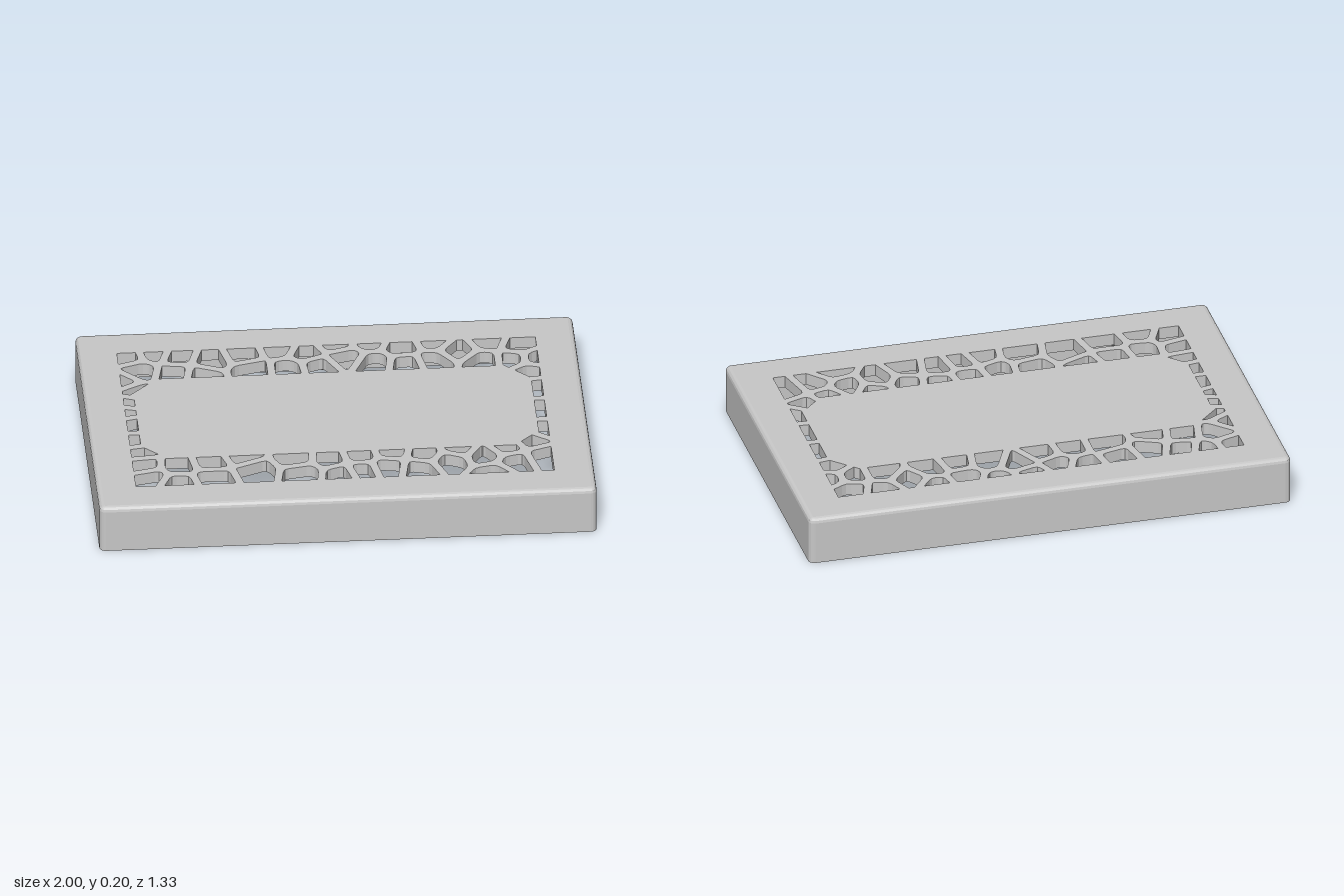
import * as THREE from 'three';
import { toCreasedNormals } from 'three/addons/utils/BufferGeometryUtils.js';

const HX = 1, HZ = 0.667, WALL = 0.02, TOP = 0.2, UNDER = 0.15, SKIN = 0.185;

// Seeds (x, z) of the irregular cells, one list for each side of the window
const backSeeds = [
  -0.81, -0.49, -0.69, -0.51, -0.77, -0.37, -0.6, -0.48, -0.62, -0.34, -0.47, -0.44, -0.52, -0.32,
  -0.34, -0.47, -0.31, -0.35, -0.19, -0.5, -0.16, -0.35, -0.09, -0.46, -0.05, -0.36, 0.04, -0.52,
  0.07, -0.42, 0.18, -0.37, 0.17, -0.53, 0.3, -0.48, 0.31, -0.35, 0.43, -0.51, 0.42, -0.37,
  0.52, -0.44, 0.62, -0.35, 0.65, -0.5, 0.77, -0.46, 0.74, -0.35, 0.83, -0.35,
];
const frontSeeds = [
  -0.8, 0.35, -0.78, 0.44, -0.66, 0.36, -0.67, 0.49, -0.53, 0.34, -0.53, 0.46, -0.4, 0.3,
  -0.35, 0.42, -0.19, 0.34, -0.17, 0.45, -0.05, 0.35, -0.01, 0.47, 0.07, 0.33, 0.07, 0.45,
  0.18, 0.43, 0.2, 0.31, 0.3, 0.45, 0.33, 0.34, 0.43, 0.4, 0.47, 0.31, 0.57, 0.37,
  0.6, 0.51, 0.69, 0.43, 0.66, 0.31, 0.76, 0.26, 0.81, 0.4,
];
const sideSeeds = [
  -0.84, -0.3, -0.79, -0.21, -0.82, -0.13, -0.84, -0.06, -0.82, 0.03, -0.82, 0.17, -0.81, 0.24,
  0.8, -0.26, 0.82, -0.13, 0.82, 0.04, 0.81, 0.19,
];

// Edges of the solid centre panel as [nx, nz, distance]
const panel = [
  [1, 0, 0.8], [-1, 0, 0.8], [0, 1, 0.305], [0, -1, 0.305],
  ...[[1, 1], [1, -1], [-1, 1], [-1, -1]].map(([a, b]) => [a * Math.SQRT1_2, b * Math.SQRT1_2, 0.71]),
];
const windowEdges = [[1, 0, 0.84], [-1, 0, 0.843], [0, 1, 0.51], [0, -1, 0.512]];

// Keep the part of a convex polygon where n.p <= d
function clip(poly, [nx, nz, d]) {
  const out = [];
  poly.forEach((p, i) => {
    const q = poly[(i + 1) % poly.length];
    const a = p[0] * nx + p[1] * nz - d, b = q[0] * nx + q[1] * nz - d;
    if (a <= 0) out.push(p);
    if ((a < 0 && b > 0) || (a > 0 && b < 0)) {
      const t = a / (a - b);
      out.push([p[0] + (q[0] - p[0]) * t, p[1] + (q[1] - p[1]) * t]);
    }
  });
  return out;
}

function area(poly) {
  return Math.abs(poly.reduce((s, p, i) => {
    const q = poly[(i + 1) % poly.length];
    return s + p[0] * q[1] - q[0] * p[1];
  }, 0)) / 2;
}

// Replace each corner by a short curve
function roundCorners(poly, r) {
  const out = [];
  poly.forEach((p, i) => {
    const ends = [poly[(i + poly.length - 1) % poly.length], poly[(i + 1) % poly.length]].map((q) => {
      const t = Math.min(0.4, r / Math.max(1e-6, Math.hypot(q[0] - p[0], q[1] - p[1])));
      return [p[0] + (q[0] - p[0]) * t, p[1] + (q[1] - p[1]) * t];
    });
    const [a, b] = ends;
    out.push(a, [0, 1].map((k) => a[k] / 4 + p[k] / 2 + b[k] / 4), b);
  });
  return out;
}

// Irregular openings between the window edge and the centre panel
function cellHoles() {
  const flat = [...backSeeds, ...frontSeeds, ...sideSeeds];
  const seeds = [];
  for (let i = 0; i < flat.length; i += 2) seeds.push([flat[i], flat[i + 1]]);
  return seeds.map((s) => {
    let poly = [[-1.2, -1], [1.2, -1], [1.2, 1], [-1.2, 1]];
    for (const o of seeds) {
      if (o === s) continue;
      const dx = o[0] - s[0], dz = o[1] - s[1], len = Math.hypot(dx, dz);
      const nx = dx / len, nz = dz / len;
      poly = clip(poly, [nx, nz, nx * (s[0] + o[0]) / 2 + nz * (s[1] + o[1]) / 2 - 0.016]);
    }
    poly = roundCorners(poly, 0.02);
    for (const e of windowEdges) poly = clip(poly, e);
    const dist = (e) => s[0] * e[0] + s[1] * e[1] - e[2];
    const near = panel.reduce((a, b) => (dist(b) > dist(a) ? b : a));
    return clip(poly, near.map((v) => -v));
  }).filter((p) => p.length > 2 && area(p) > 0.0003);
}

// Honeycomb pockets under the centre panel
function hexHoles() {
  const holes = [], pitch = 0.14, r = 0.06;
  for (let row = 0; row < 5; row++) {
    for (let col = -6; col <= 6; col++) {
      const cx = (col + (row % 2) / 2) * pitch, cz = (row - 2) * pitch * 0.866;
      let poly = [];
      for (let k = 0; k < 6; k++) {
        const a = (k + 0.5) * Math.PI / 3;
        poly.push([cx + r * Math.cos(a), cz + r * Math.sin(a)]);
      }
      for (const [nx, nz, d] of panel) poly = clip(poly, [nx, nz, d - 0.012]);
      if (poly.length > 2 && area(poly) > 0.003) holes.push(poly);
    }
  }
  return holes;
}

// Rounded rectangle, shrunk by an inset
function outline(inset) {
  const pts = [], r = 0.025;
  [[1, 1], [-1, 1], [-1, -1], [1, -1]].forEach(([sx, sz], c) => {
    for (let k = 0; k <= 4; k++) {
      const a = (c + k / 4) * Math.PI / 2;
      pts.push([sx * (HX - r) + (r - inset) * Math.cos(a), sz * (HZ - r) + (r - inset) * Math.sin(a)]);
    }
  });
  return pts;
}

// Flat slab with holes between two heights; outline and holes wind opposite ways
function slab(holes, y0, y1) {
  const vec = (poly) => poly.map(([x, z]) => new THREE.Vector2(x, -z));
  const shape = new THREE.Shape(vec(outline(WALL)).reverse());
  shape.holes = holes.map((h) => new THREE.Path(vec(h)));
  const geo = new THREE.ExtrudeGeometry(shape, { depth: y1 - y0, bevelEnabled: false });
  return geo.rotateX(-Math.PI / 2).translate(0, y0, 0);
}

// Wall ring lofted from an [inset, height] profile
function wallRing() {
  const profile = [[WALL, UNDER], [WALL, 0], [0, 0], [0, 0.18], [0.0025, 0.19], [0.01, 0.1975], [WALL, TOP]];
  const loops = profile.map(([inset, y]) => outline(inset).map(([x, z]) => [x, y, z]));
  const pos = [];
  for (let j = 0; j < loops.length - 1; j++) {
    const lo = loops[j], up = loops[j + 1];
    lo.forEach((p, i) => {
      const n = (i + 1) % lo.length;
      pos.push(...p, ...up[i], ...up[n], ...p, ...up[n], ...lo[n]);
    });
  }
  const geo = new THREE.BufferGeometry();
  geo.setAttribute('position', new THREE.Float32BufferAttribute(pos, 3));
  return toCreasedNormals(geo, 0.15);
}

export function createModel() {
  const group = new THREE.Group();
  const grey = new THREE.MeshStandardMaterial({ color: 0xc8c8c8 });
  grey.name = 'lightGrey';
  const add = (name, geo) => {
    const mesh = new THREE.Mesh(geo, grey);
    mesh.name = name;
    group.add(mesh);
    return mesh;
  };
  const cells = cellHoles();
  add('outerWalls', wallRing());
  add('topSkin', slab(cells, SKIN, TOP));
  add('honeycombLayer', slab([...cells, ...hexHoles()], UNDER, SKIN));
  // Snap bumps inside the long walls
  for (const sx of [-1, 1]) for (const sz of [-1, 1]) {
    add('snapBump', new THREE.SphereGeometry(0.018, 16, 12)).position.set(sx * 0.607, 0.09, sz * (HZ - WALL));
  }
  return group;
}
